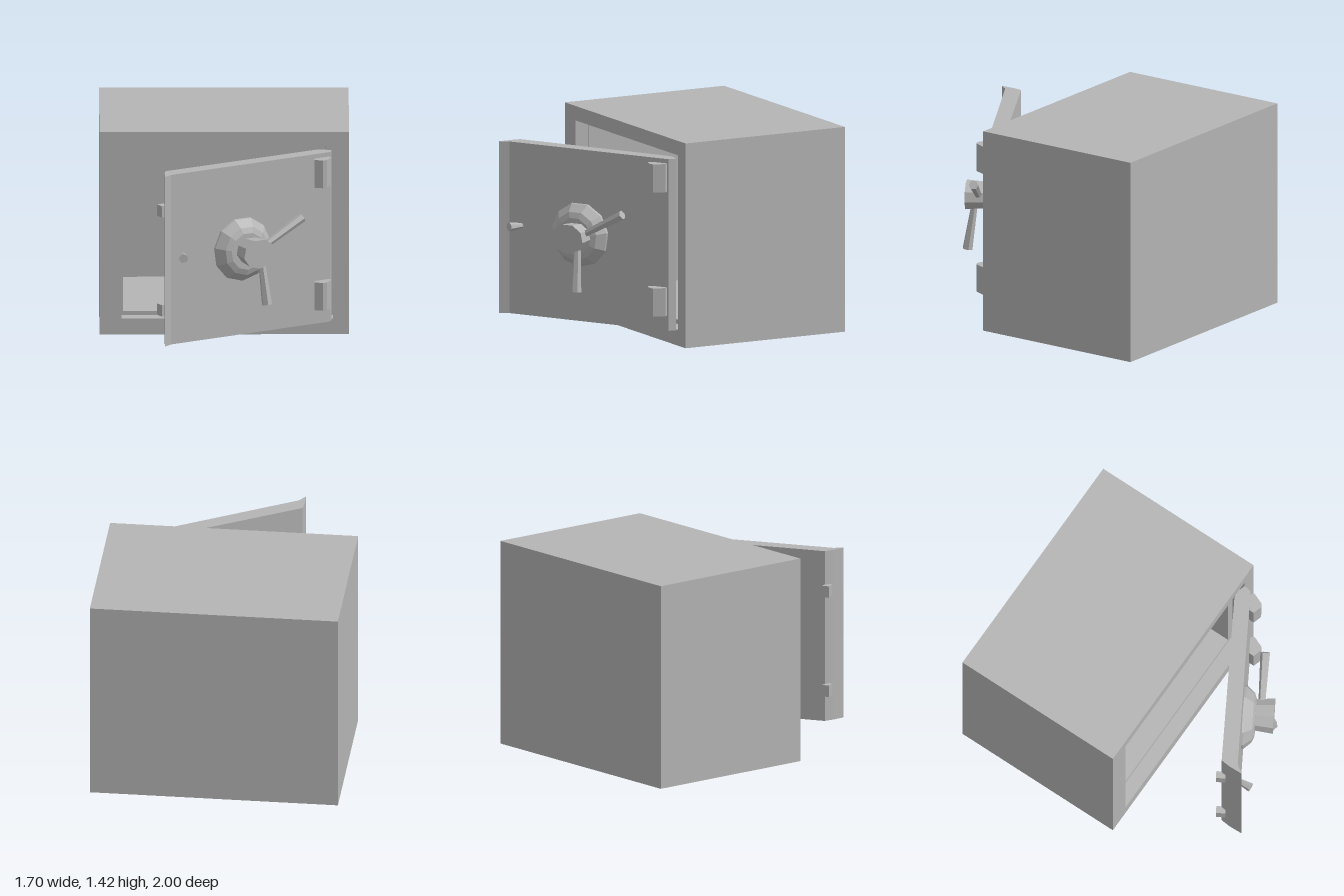
import * as THREE from 'three';

const steel = new THREE.MeshStandardMaterial({ color: 0xb4b4b4, flatShading: true });
steel.name = 'grey steel';

function part(parent, name, geometry, x = 0, y = 0, z = 0) {
  const mesh = new THREE.Mesh(geometry, steel);
  mesh.name = name;
  mesh.position.set(x, y, z);
  parent.add(mesh);
  return mesh;
}

// Rectangle as a closed list of corners
function rect(x0, y0, x1, y1) {
  return [[x0, y0], [x1, y0], [x1, y1], [x0, y1]].map(p => new THREE.Vector2(...p));
}

// Rectangular frame with an opening, running along z
function frame(hole, depth) {
  const shape = new THREE.Shape(rect(-0.85, 0, 0.85, 1.42));
  shape.holes.push(new THREE.Path(rect(...hole)));
  return new THREE.ExtrudeGeometry(shape, { depth, bevelEnabled: false });
}

// Plan outline in (x, z) pulled upwards by a height
function upright(points, height) {
  const shape = new THREE.Shape(points.map(([x, z]) => new THREE.Vector2(x, -z)));
  return new THREE.ExtrudeGeometry(shape, { depth: height, bevelEnabled: false }).rotateX(-Math.PI / 2);
}

// Tapered bar between two points
function bar(parent, name, from, to, r0, r1, sides) {
  const a = new THREE.Vector3(...from), b = new THREE.Vector3(...to);
  const dir = b.clone().sub(a);
  const mesh = part(parent, name, new THREE.CylinderGeometry(r1, r0, dir.length(), sides));
  mesh.position.copy(a).add(b).multiplyScalar(0.5);
  mesh.quaternion.setFromUnitVectors(new THREE.Vector3(0, 1, 0), dir.normalize());
  return mesh;
}

export function createModel() {
  const model = new THREE.Group();
  model.name = 'openSafe';

  // Hollow cabinet: back slab, deep walls and a slightly wider front rim
  const body = new THREE.Group();
  body.name = 'body';
  model.add(body);
  part(body, 'backWall', new THREE.BoxGeometry(1.7, 1.42, 0.19), 0, 0.71, -0.905);
  part(body, 'walls', frame([-0.69, 0.14, 0.69, 1.31], 0.95), 0, 0, -0.81);
  part(body, 'frontRim', frame([-0.7, 0.11, 0.74, 1.32], 0.1), 0, 0, 0.14);

  // Door swung open; its local x runs along the panel, local z faces outwards
  const door = new THREE.Group();
  door.name = 'door';
  door.rotation.y = Math.PI / 6;
  model.add(door);
  part(door, 'doorPanel', upright([
    [-0.765, 0.519], [0.417, 0.517], [0.46, 0.53], [0.507, 0.58],
    [0.474, 0.622], [-0.785, 0.63], [-0.85, 0.66], [-0.805, 0.575],
  ], 1.19), 0, 0.105, 0);

  // Hinge knuckles and locking bolts, upper and lower
  for (const y of [0.21, 1.07]) {
    part(door, 'hinge', upright([
      [0.355, 0.61], [0.46, 0.61], [0.467, 0.651], [0.4, 0.703], [0.37, 0.7], [0.328, 0.655],
    ], 0.195), 0, y, 0);
  }
  for (const y of [0.325, 1.02]) {
    part(door, 'lockingBolt', new THREE.BoxGeometry(0.05, 0.08, 0.065), -0.785, y, 0.515);
  }

  // Faceted dial: stepped flange with a round hub
  const profile = [[0, 0], [0.225, 0], [0.22, 0.02], [0.17, 0.075], [0.13, 0.09]]
    .map(p => new THREE.Vector2(...p));
  profile.push(new THREE.Vector2(0, 0.09));
  part(door, 'dialFlange', new THREE.LatheGeometry(profile, 11).rotateX(Math.PI / 2), -0.225, 0.705, 0.62);
  const hub = part(door, 'dialHub',
    new THREE.CylinderGeometry(0.125, 0.11, 0.14, 9).rotateX(Math.PI / 2), -0.205, 0.71, 0.765);
  hub.scale.y = 0.82;

  // Spoke handles, flaring towards their tips
  bar(door, 'spokeHandle', [-0.17, 0.71, 0.745], [0.18, 0.9, 0.745], 0.022, 0.033, 6);
  bar(door, 'spokeHandle', [-0.16, 0.68, 0.77], [-0.14, 0.345, 0.82], 0.022, 0.036, 6);

  // Small pull knob near the free edge
  bar(door, 'pullKnob', [-0.69, 0.72, 0.62], [-0.737, 0.72, 0.715], 0.018, 0.032, 7);

  return model;
}
